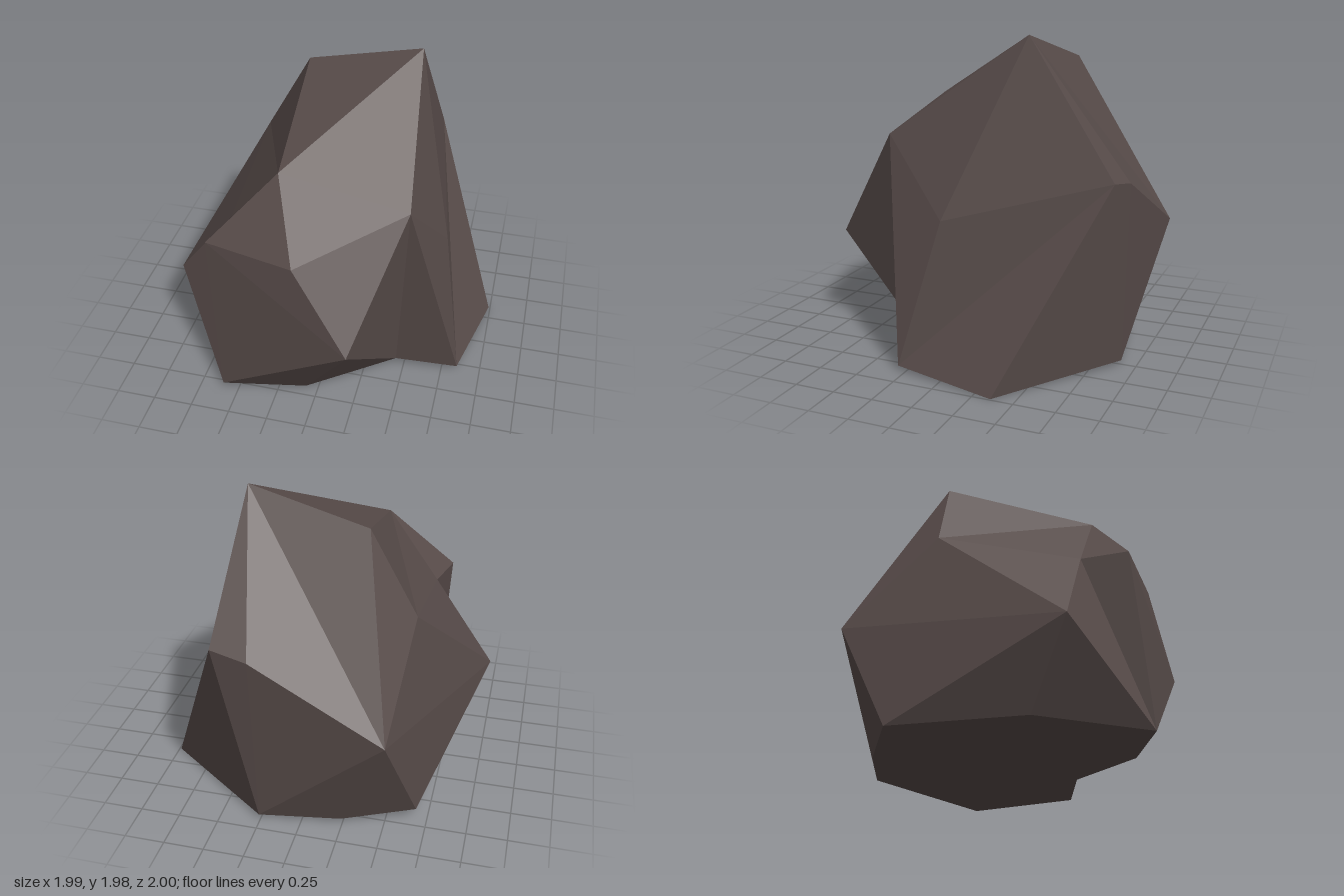
import * as THREE from 'three';

// Corner points of the boulder
const P = {
  apex: [0.42, 1.98, -0.36], ridge: [-0.31, 1.80, -0.42],
  brow: [-0.26, 1.53, 0.50], shoulder: [0.52, 1.37, 0.50],
  nose: [0.26, 0.64, 1.00], chest: [-0.10, 1.11, 0.84],
  fin: [-0.67, 1.10, 0.70], notch: [-0.60, 1.10, 0.42],
  side: [-1.00, 0.57, 0.34], flank: [-0.60, 1.28, -0.43],
  hump: [0.70, 0.91, 0.08], backTop: [0.51, 1.18, -0.91],
  backMid: [0.28, 1.14, -0.94], backEdge: [-0.53, 0.73, -1.00],
  // ring of ground points
  g0: [-0.60, 0.03, 0.80], g1: [-0.07, 0.04, 0.71], g2: [0.45, 0.06, 0.35],
  g3: [0.85, 0.03, 0.30], g4: [0.99, 0.00, -0.36], g5: [0.26, 0.03, -0.91],
  g6: [-0.24, 0.03, -0.83], g7: [-0.68, 0.07, -0.68], g8: [-0.77, 0.08, 0.13],
};

const FACETS = [
  // top and front
  'apex ridge brow', 'apex brow shoulder', 'brow chest shoulder', 'chest nose shoulder',
  'fin chest brow', 'fin nose chest', 'fin g0 nose', 'nose g0 g1', 'nose g1 g2', 'nose g2 shoulder',
  // notch behind the fin
  'side g0 notch', 'notch g0 fin', 'notch fin brow', 'flank notch brow', 'flank side notch',
  // +x side
  'shoulder g2 g3', 'shoulder g3 hump', 'shoulder hump apex', 'apex hump backTop',
  'hump g3 backTop', 'g3 g4 backTop',
  // back
  'g4 g5 backTop', 'g5 backMid backTop', 'backMid g5 backEdge', 'g5 g6 backEdge', 'g6 g7 backEdge',
  'apex backTop backMid', 'apex backMid backEdge', 'apex backEdge ridge',
  // -x side
  'g7 side backEdge', 'g7 g8 side', 'g8 g0 side', 'backEdge side flank', 'backEdge flank ridge',
  'ridge flank brow',
  // underside
  'g2 g3 g4', 'g2 g4 g5', 'g2 g5 g6', 'g2 g6 g7', 'g2 g7 g8', 'g2 g8 g0', 'g2 g0 g1',
];

// Builds flat facets, each turned to face away from the core
function facetGeometry(facets, core) {
  const positions = [];
  const normal = new THREE.Vector3();
  for (const facet of facets) {
    const [a, b, c] = facet.split(' ').map((n) => new THREE.Vector3(...P[n]));
    new THREE.Triangle(a, b, c).getNormal(normal);
    const mid = a.clone().add(b).add(c).divideScalar(3).sub(core);
    const corners = normal.dot(mid) < 0 ? [a, c, b] : [a, b, c];
    corners.forEach((v) => positions.push(v.x, v.y, v.z));
  }
  const geometry = new THREE.BufferGeometry();
  geometry.setAttribute('position', new THREE.Float32BufferAttribute(positions, 3));
  geometry.computeVertexNormals();
  return geometry;
}

export function createModel() {
  const group = new THREE.Group();
  group.name = 'rock';
  const stone = new THREE.MeshStandardMaterial({ color: 0x574b49 });
  stone.name = 'dark brown stone';
  stone.flatShading = true;
  const boulder = new THREE.Mesh(facetGeometry(FACETS, new THREE.Vector3(0, 0.7, 0)), stone);
  boulder.name = 'boulder';
  group.add(boulder);
  return group;
}
